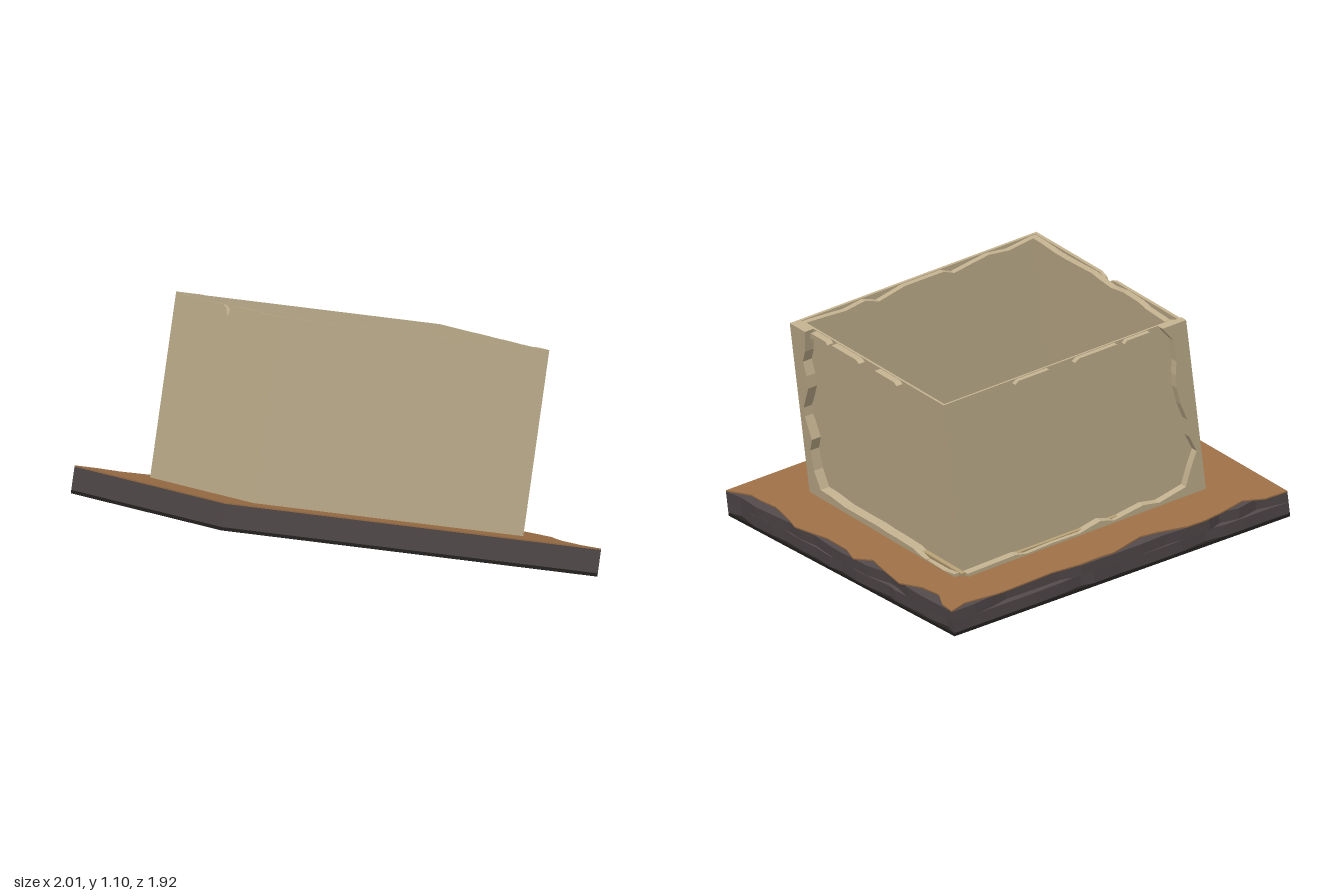
import * as THREE from 'three';

const mat = (color) => new THREE.MeshStandardMaterial({ color, side: THREE.DoubleSide });
const wood = mat(0x9a6e45), edge = mat(0x51484a), under = mat(0x24211f);
const plaster = mat(0xbfae8c), floorTone = mat(0xb39d73);

// Seeded noise for the chipped edges
let seed = 7;
const rnd = () => (seed = (seed * 16807) % 2147483647) / 2147483647;

// Ragged run of points from a to b; chips bite to the given side by up to amp
function ragged(a, b, n, amp) {
  const dx = b[0] - a[0], dy = b[1] - a[1], len = Math.hypot(dx, dy);
  const pts = [a];
  for (let i = 1; i < n; i++) {
    const t = (i + (rnd() - 0.5) * 0.7) / n, d = amp * rnd() ** 2;
    pts.push([a[0] + dx * t - (dy / len) * d, a[1] + dy * t + (dx / len) * d]);
  }
  pts.push(b);
  return pts;
}

function extrude(name, points, depth, material) {
  const shape = new THREE.Shape(points.map(([x, y]) => new THREE.Vector2(x, y)));
  const mesh = new THREE.Mesh(
    new THREE.ExtrudeGeometry(shape, { depth, bevelEnabled: false }), material);
  mesh.name = name;
  return mesh;
}

// Flat layer lying on the ground plane; points are [x, z]
function layer(name, points, y, height, material) {
  const mesh = extrude(name, points.map(([x, z]) => [x, -z]), height, material);
  mesh.rotation.x = -Math.PI / 2;
  mesh.position.y = y;
  return mesh;
}

export function createModel() {
  const root = new THREE.Group();
  root.name = 'tiltedOpenBox';
  const tilt = new THREE.Group();
  tilt.name = 'tiltedBody';
  root.add(tilt);

  // Slab: outline is whole at the two front sides and chipped at the two back sides
  const front = [0.705, 0.706], right = [0.713, -0.735];
  const back = [-0.70, -0.68], left = [-0.73, 0.714];
  const brokenOutline = (amp) => [
    front,
    ...ragged(right, back, 16, -amp),
    ...ragged(back, left, 16, -amp).slice(1),
  ];
  tilt.add(layer('slabUnderside', [front, right, back, left], 0, 0.012, under));
  tilt.add(layer('slabLowerEdge', brokenOutline(0.02), 0.012, 0.043, edge));
  tilt.add(layer('slabUpperEdge', brokenOutline(0.035), 0.055, 0.04, edge));
  tilt.add(layer('slabTop', brokenOutline(0.05), 0.095, 0.005, wood));

  // Box
  const base = 0.1, H = 0.665, T = 0.035;
  const X0 = -0.507, X1 = 0.488, Z0 = -0.525, Z1 = 0.513;
  const box = new THREE.Group();
  box.name = 'openBox';
  box.position.y = base;
  tilt.add(box);

  const floor = new THREE.Mesh(new THREE.BoxGeometry(0.97, 0.012, 1.01), floorTone);
  floor.name = 'boxFloor';
  floor.position.set(-0.005, 0.006, 0);
  box.add(floor);

  // Wall across x, standing at z
  const acrossX = (name, points, z, depth) => {
    const wall = extrude(name, points, depth, plaster);
    wall.position.z = z;
    box.add(wall);
  };
  // Wall across z, standing at x; points are given as [z, height]
  const acrossZ = (name, points, x, depth) => {
    const wall = extrude(name, points.map(([z, h]) => [-z, h]), depth, plaster);
    wall.rotation.y = Math.PI / 2;
    wall.position.x = x;
    box.add(wall);
  };

  // Front walls: full outer faces, one with a notch in the rim
  const notch = [[0.05, H], [0.02, H - 0.012], [0.005, H - 0.045], [-0.015, H - 0.015], [-0.05, H - 0.004]];
  acrossX('frontRightWall', [[X0, 0], [X1, 0], [X1, H], ...notch, [X0, H - 0.005]], Z1 - 0.012, 0.012);
  acrossZ('frontLeftWall', [[Z0, 0], [Z1, 0], [Z1, H], [Z0, H]], X1 - 0.012, 0.012);
  // Their inner skins with chipped rims
  acrossX('frontRightInnerSkin',
    [[X0 + T, 0], [X1 - 0.012, 0], ...ragged([X1 - 0.012, H - 0.002], [X0 + T, H - 0.006], 12, 0.025)],
    Z1 - T, T - 0.012);
  acrossZ('frontLeftInnerSkin',
    [[Z0 + T, 0], [Z1 - T, 0], ...ragged([Z1 - T, H - 0.002], [Z0 + T, H - 0.002], 12, 0.025)],
    X1 - T, T - 0.012);

  // Back walls: thin inner sheets
  const S = 0.008, bx = -0.475, bz = -0.488;
  acrossX('backLeftWall', [[bx, 0], [X1 - T, 0], [X1 - T, H], [bx, H]], bz, S);
  acrossZ('backRightWall', [[bz, 0], [Z1 - T, 0], [Z1 - T, H], [bz, H]], bx, S);

  // Broken remnants of the outer skin: a post at the front end and a low foot
  const remnant = (start, end) => [
    [end, 0], [end, H],
    ...ragged([end - 0.1, H], [end - 0.05, 0.1], 9, 0.045),
    ...ragged([end - 0.08, 0.035], [start, 0.012], 10, 0.02),
    [start, 0],
  ];
  acrossX('backLeftRemnant', remnant(bx, X1), Z0, bz - Z0);
  acrossZ('backRightRemnant', remnant(bz, Z1), X0, bx - X0);

  // Splintered rim pieces left along the two back walls
  for (const [s, w] of [[-0.2, 0.16], [0.05, 0.2], [0.26, 0.12]]) {
    const chip = [[s, H - 0.012], [s + w, H - 0.025], [s + w * 0.9, H - 0.002], [s + w * 0.1, H - 0.002]];
    acrossX('backLeftRimChip', chip, Z0 + 0.012, bz - Z0 - 0.012);
    acrossZ('backRightRimChip', chip, X0 + 0.012, bx - X0 - 0.012);
  }

  // Turn and lean the whole body onto its back corner
  const u = new THREE.Vector3(0.82, 0.105, 0.56).normalize();
  const n = new THREE.Vector3(0.022, 0.976, -0.215).normalize();
  const v = new THREE.Vector3().crossVectors(u, n).normalize();
  n.crossVectors(v, u);
  tilt.quaternion.setFromRotationMatrix(new THREE.Matrix4().makeBasis(u, n, v));
  tilt.position.set(0, 0.203, 0);
  return root;
}
